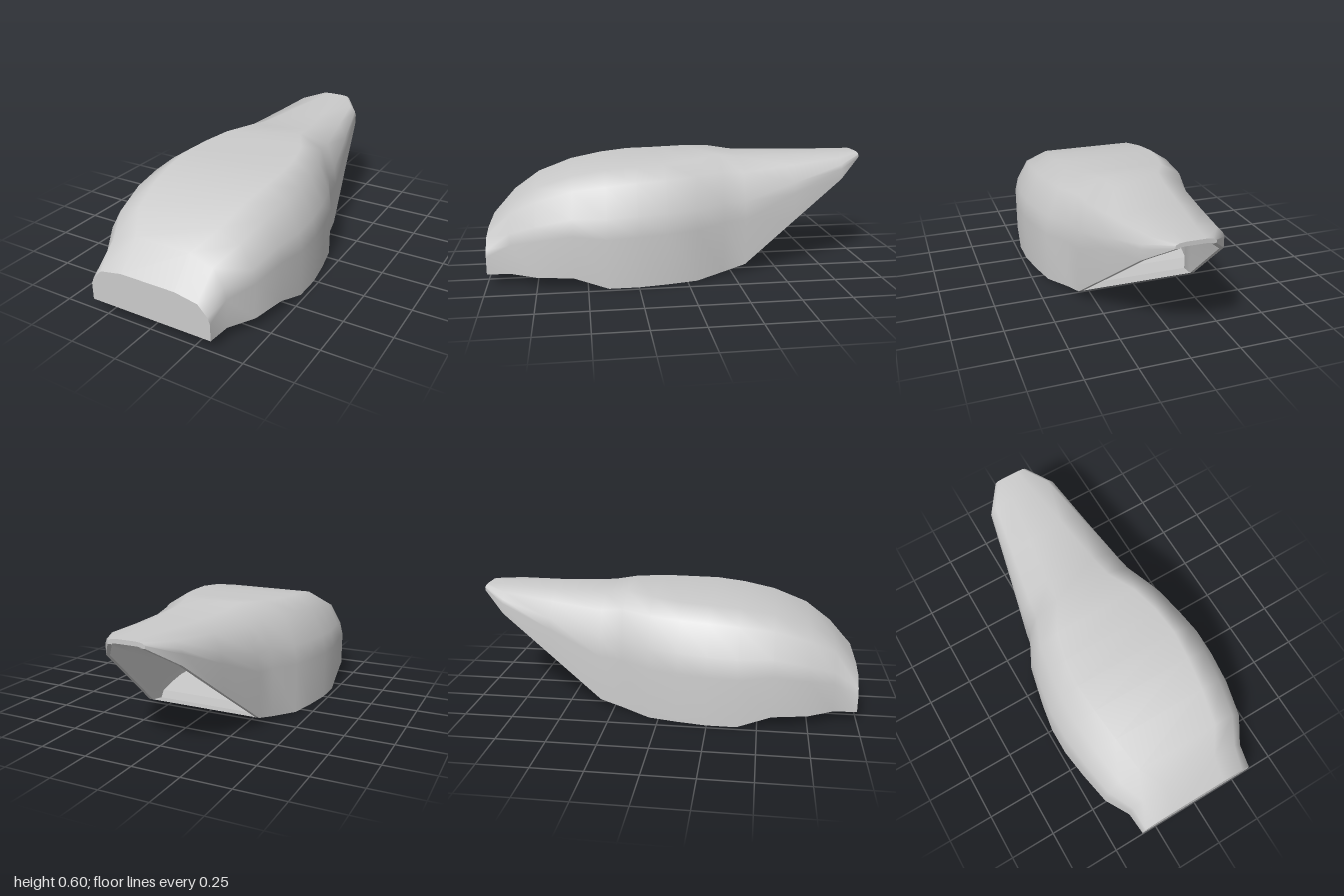
import * as THREE from 'three';

// Stations from nose to tail: z, half width, bottom y, top y, half width of the flat crown
const STATIONS = [
  [1, 0.335, 0.055, 0.25, 0.15],
  [0.88, 0.345, 0.055, 0.385, 0.15],
  [0.75, 0.42, 0.055, 0.465, 0.225],
  [0.57, 0.455, 0.055, 0.527, 0.255],
  [0.4, 0.475, 0, 0.557, 0.275],
  [0.25, 0.475, 0, 0.572, 0.285],
  [0.1, 0.452, 0, 0.578, 0.27],
  [-0.05, 0.42, 0, 0.59, 0.23],
  [-0.2, 0.345, 0.015, 0.6, 0.15],
  [-0.32, 0.325, 0.045, 0.582, 0.135],
  [-0.6, 0.26, 0.255, 0.58, 0.1],
  [-0.87, 0.2, 0.458, 0.581, 0.06],
  [-1, 0.095, 0.555, 0.582, 0.045],
];
const FLOOR_END = 9; // the underside is closed up to this station, open behind it
const WALL = 0.022;

// Arch cross-section from the left bottom edge over the crown to the right
function arch([z, w, bottom, top, crown], inset = 0) {
  const hw = w - inset;
  const h = Math.max(top - inset - bottom, 0.006);
  const half = [[hw, 0], [hw, 0.45], [hw * 0.96, 0.62], [hw * 0.81, 0.885], [Math.min(crown, hw * 0.7), 1]]
    .map(([x, f]) => new THREE.Vector3(x, bottom + f * h, z));
  const mirrored = half.map(p => new THREE.Vector3(-p.x, p.y, z)).reverse();
  return [...half, ...mirrored];
}

// Surface through rows of points
function loft(rows) {
  const n = rows[0].length;
  const index = [];
  for (let j = 0; j < rows.length - 1; j++) {
    for (let i = 0; i < n - 1; i++) {
      const a = j * n + i, b = a + 1, c = a + n, d = c + 1;
      index.push(a, c, b, b, c, d);
    }
  }
  const geometry = new THREE.BufferGeometry().setFromPoints(rows.flat());
  geometry.setIndex(index);
  geometry.computeVertexNormals();
  return geometry;
}

export function createModel() {
  const group = new THREE.Group();
  const solid = new THREE.MeshStandardMaterial({ color: 0xcccccc });
  const thin = new THREE.MeshStandardMaterial({ color: 0xcccccc, side: THREE.DoubleSide });
  const add = (name, geometry, material) => {
    const mesh = new THREE.Mesh(geometry, material);
    mesh.name = name;
    group.add(mesh);
  };

  const outer = STATIONS.map(s => arch(s));
  const inner = STATIONS.map(s => arch(s, WALL));

  // Smooth outer skin and the lining seen through the open tail
  add('outerShell', loft(outer), solid);
  add('innerLining', loft(inner.map(row => [...row].reverse())), solid);

  // Flat nose plate
  const nose = new THREE.ShapeGeometry(new THREE.Shape(outer[0].map(p => new THREE.Vector2(p.x, p.y))));
  nose.translate(0, 0, 1);
  add('nosePlate', nose, thin);

  // Stepped underside, flat-shaded between stations
  const floorRows = outer.slice(0, FLOOR_END + 1).map(r => [r[r.length - 1], r[0]]);
  const floor = loft(floorRows).toNonIndexed();
  floor.computeVertexNormals();
  add('floor', floor, thin);

  // Wall thickness along the tail opening and round its tip
  const last = outer[0].length - 1;
  for (const [name, i] of [['leftRim', 0], ['rightRim', last]]) {
    const rows = outer.map((r, j) => [r[i], inner[j][i]]).slice(FLOOR_END);
    add(name, loft(i ? rows : rows.map(r => [r[1], r[0]])), thin);
  }
  add('tailTipRim', loft([outer[outer.length - 1], inner[inner.length - 1]]), thin);

  return group;
}
